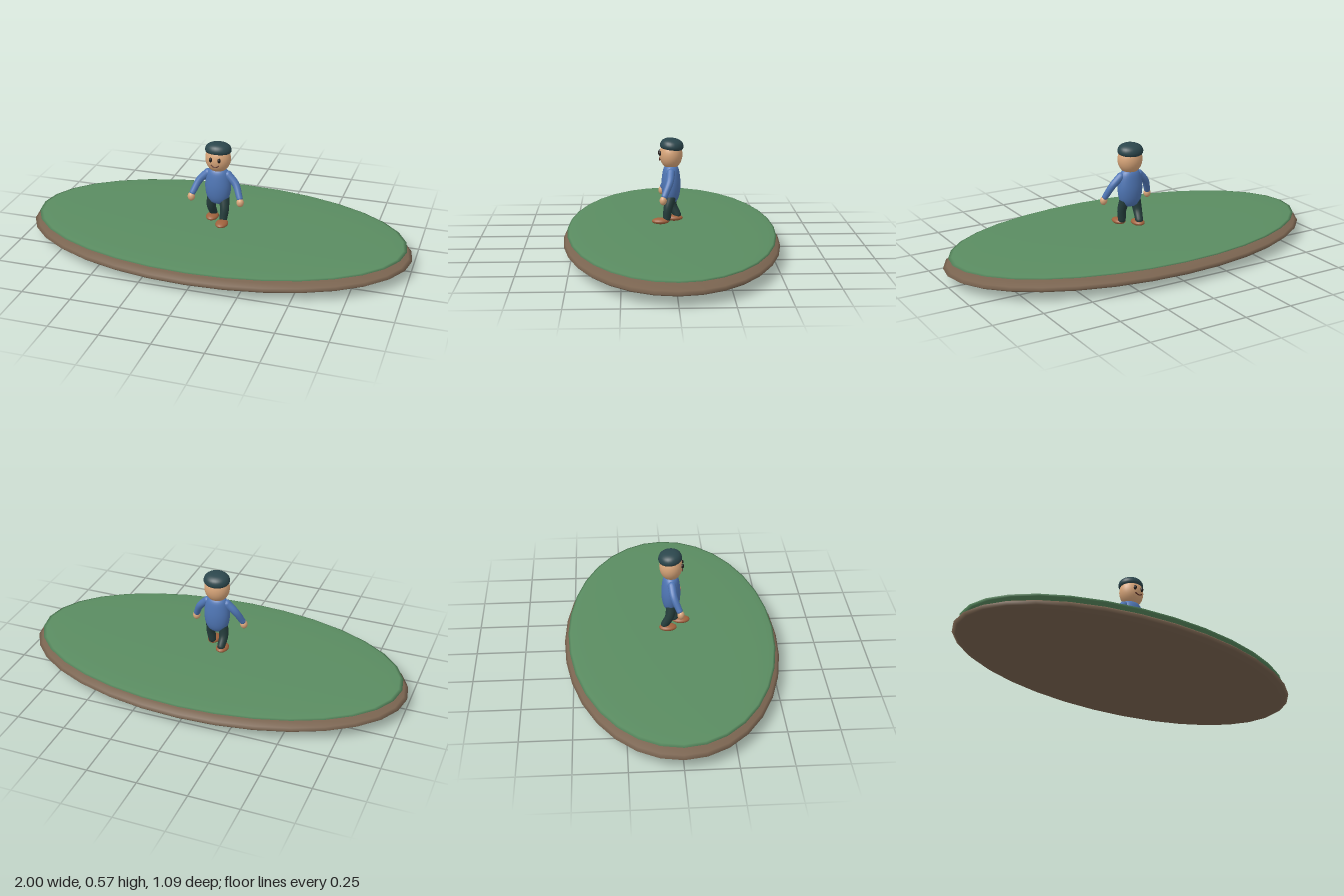
import * as THREE from 'three';

const mat = (name, color) => {
  const m = new THREE.MeshStandardMaterial({ color });
  m.name = name;
  return m;
};

export function createModel() {
  const grass = mat('grass green', 0x5a8c61);
  const earth = mat('earth brown', 0x7a6450);
  const skin = mat('skin', 0xd9a67a);
  const shirt = mat('shirt blue', 0x4f76b5);
  const trousers = mat('trouser green', 0x243c3b);
  const hat = mat('cap teal', 0x2b464c);
  const leather = mat('shoe leather', 0xa0623d);
  const ink = mat('eye black', 0x201b1a);
  const lip = mat('mouth brown', 0x5a2f25);

  const model = new THREE.Group();
  model.name = 'walkerOnIsland';
  const person = new THREE.Group();
  person.name = 'person';
  model.add(person);

  const add = (parent, name, geometry, material) => {
    const mesh = new THREE.Mesh(geometry, material);
    mesh.name = name;
    parent.add(mesh);
    return mesh;
  };
  const ellipsoid = (parent, name, material, pos, radii, w = 24, h = 16) => {
    const mesh = add(parent, name, new THREE.SphereGeometry(1, w, h), material);
    mesh.position.set(...pos);
    mesh.scale.set(...radii);
    return mesh;
  };
  // Lathe with a smoothed profile, given as [radius, height] pairs
  const turned = (name, material, profile, depth) => {
    const curve = new THREE.SplineCurve(profile.map(p => new THREE.Vector2(...p)));
    const pts = curve.getPoints(24).map(p => new THREE.Vector2(Math.max(p.x, 0), p.y));
    const mesh = add(person, name, new THREE.LatheGeometry(pts, 28), material);
    mesh.scale.z = depth;
    return mesh;
  };
  // Curved limb that tapers from r0 to r1, with rounded ends
  const limb = (name, material, points, r0, r1) => {
    const group = new THREE.Group();
    group.name = name;
    person.add(group);
    const curve = new THREE.CatmullRomCurve3(points.map(p => new THREE.Vector3(...p)));
    const steps = 14, sides = 16;
    const tube = new THREE.TubeGeometry(curve, steps, 1, sides);
    const pos = tube.attributes.position;
    const v = new THREE.Vector3();
    for (let i = 0; i < pos.count; i++) {
      const t = Math.floor(i / (sides + 1)) / steps;
      const c = curve.getPointAt(t);
      v.fromBufferAttribute(pos, i).sub(c).multiplyScalar(r0 + (r1 - r0) * t).add(c);
      pos.setXYZ(i, v.x, v.y, v.z);
    }
    add(group, name + 'Tube', tube, material);
    ellipsoid(group, name + 'Top', material, points[0], [r0, r0, r0], 16, 10);
    ellipsoid(group, name + 'End', material, points[points.length - 1], [r1, r1, r1], 16, 10);
  };

  // Ground
  ellipsoid(model, 'earthBase', earth, [0, 0.058, 0], [1, 0.058, 0.546], 32, 16);
  ellipsoid(model, 'grassTop', grass, [0, 0.105, 0], [0.972, 0.018, 0.526], 32, 16);

  // Torso, head and cap
  turned('torso', shirt, [[0, 0.236], [0.036, 0.243], [0.058, 0.275], [0.067, 0.325],
    [0.063, 0.375], [0.052, 0.415], [0.03, 0.433], [0, 0.437]], 0.72);
  ellipsoid(person, 'head', skin, [0, 0.485, 0], [0.065, 0.074, 0.058], 28, 20);
  const cap = turned('cap', hat, [[0, -0.02], [0.045, -0.02], [0.062, -0.015], [0.067, 0],
    [0.058, 0.02], [0.034, 0.033], [0, 0.037]], 0.89);
  cap.position.set(0, 0.531, -0.004);
  cap.rotation.x = -0.12;

  // Smile
  const smile = new THREE.QuadraticBezierCurve3(
    new THREE.Vector3(-0.02, 0.466, 0.055),
    new THREE.Vector3(0, 0.446, 0.062),
    new THREE.Vector3(0.02, 0.466, 0.055));
  add(person, 'mouth', new THREE.TubeGeometry(smile, 12, 0.003, 8), lip);

  // Mirrored eyes, arms and hands; the left leg strides forward
  for (const s of [-1, 1]) {
    const side = s > 0 ? 'left' : 'right';
    ellipsoid(person, side + 'Eye', ink, [s * 0.022, 0.493, 0.056], [0.008, 0.012, 0.009], 14, 10);
    limb(side + 'Arm', shirt,
      [[s * 0.053, 0.4, 0.002], [s * 0.095, 0.357, 0.01], [s * 0.124, 0.295, 0.036]], 0.021, 0.016);
    ellipsoid(person, side + 'Hand', skin, [s * 0.129, 0.274, 0.043], [0.019, 0.023, 0.018], 16, 12);

    const ankle = s > 0 ? 0.022 : -0.033;
    const knee = s > 0 ? 0.016 : -0.008;
    limb(side + 'Leg', trousers,
      [[s * 0.031, 0.275, 0], [s * 0.039, 0.215, knee], [s * 0.035, 0.165, ankle]], 0.027, 0.02);
    ellipsoid(person, side + 'Shoe', leather, [s * 0.036, 0.149, ankle + (s > 0 ? 0.032 : 0.016)],
      [0.032, 0.016, 0.045], 20, 12);
  }
  return model;
}
